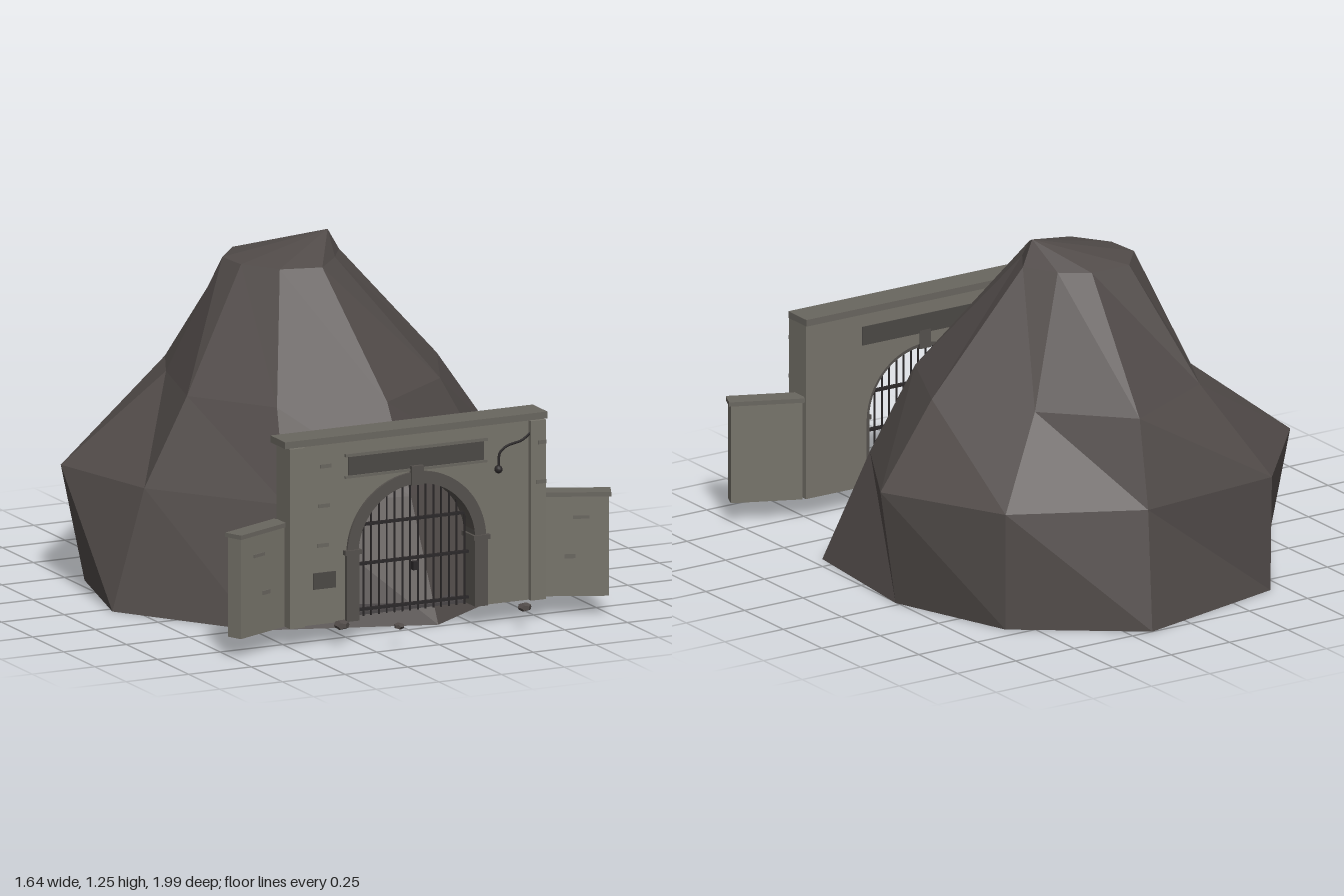
import * as THREE from 'three';

const mat = (name, color) => {
  const m = new THREE.MeshStandardMaterial({ color });
  m.name = name;
  return m;
};

export function createModel() {
  const root = new THREE.Group();
  root.name = 'rockTunnelGate';
  const rockMat = mat('dark rock', 0x514b49);
  rockMat.flatShading = true;
  const stone = mat('grey stone', 0x76736a);
  const trim = mat('trim stone', 0x69665f);
  const archMat = mat('arch stone', 0x55514d);
  const panelMat = mat('dark panel', 0x4b4845);
  const iron = mat('dark iron', 0x2b2829);
  const floorMat = mat('tunnel floor', 0x4a4647);

  const add = (name, geo, material, x = 0, y = 0, z = 0, parent = root) => {
    const m = new THREE.Mesh(geo, material);
    m.name = name;
    m.position.set(x, y, z);
    parent.add(m);
    return m;
  };
  // Box given by its low and high corners
  const box = (name, material, [x0, y0, z0], [x1, y1, z1], parent = root) =>
    add(name, new THREE.BoxGeometry(x1 - x0, y1 - y0, z1 - z0), material,
      (x0 + x1) / 2, (y0 + y1) / 2, (z0 + z1) / 2, parent);

  // Rock hill: four rings of nine corners, closed with an off-centre peak
  const rings = [
    [0, [[.755, -.23], [.59, -.69], [.165, -1], [-.44, -.85], [-.705, -.43], [-.825, .035], [-.49, .52], [.13, .73], [.705, .32]]],
    [.43, [[.82, -.23], [.585, -.685], [.13, -.92], [-.44, -.86], [-.79, -.45], [-.68, 0], [-.34, .45], [.12, .53], [.6, .17]]],
    [.74, [[.6, -.23], [.37, -.55], [.1, -.82], [-.29, -.62], [-.39, -.41], [-.49, -.04], [-.28, .26], [.11, .36], [.44, .12]]],
    [1.165, [[.21, -.23], [.14, -.35], [.04, -.42], [-.12, -.42], [-.22, -.3], [-.21, -.17], [-.12, -.04], [.03, 0], [.14, -.12]]],
  ].map(([y, pts]) => pts.map(([x, z]) => [x, y, z]));
  const tris = [];
  const peak = [.15, 1.25, -.2];
  for (let i = 0; i < 9; i++) {
    const j = (i + 1) % 9;
    for (let r = 0; r < 3; r++) {
      const lo = rings[r], hi = rings[r + 1];
      tris.push(lo[i], lo[j], hi[i], lo[j], hi[j], hi[i]);
    }
    tris.push(rings[3][i], rings[3][j], peak);
    tris.push(rings[0][j], rings[0][i], [0, 0, -.2]);
  }
  const rockGeo = new THREE.BufferGeometry();
  rockGeo.setAttribute('position', new THREE.Float32BufferAttribute(tris.flat(), 3));
  rockGeo.computeVertexNormals();
  add('rockHill', rockGeo, rockMat);

  // Gate wall with an arched opening
  const BOTTOM = .075, SPRING = .32;
  const archPath = (shape, r) => {
    shape.moveTo(-r, BOTTOM);
    shape.lineTo(-r, SPRING);
    shape.absarc(0, SPRING, r, Math.PI, 0, true);
    shape.lineTo(r, BOTTOM);
  };
  const wall = new THREE.Shape();
  archPath(wall, .25);
  wall.lineTo(.51, BOTTOM);
  wall.lineTo(.51, .735);
  wall.lineTo(-.51, .735);
  wall.lineTo(-.51, BOTTOM);
  wall.closePath();
  const extrude = (shape, depth) =>
    new THREE.ExtrudeGeometry(shape, { depth, bevelEnabled: false, curveSegments: 20 });
  add('gateWall', extrude(wall, .09), stone, 0, 0, .72);
  box('wallCoping', trim, [-.523, .735, .697], [.523, .76, .815]);

  // Arch surround, one band running down both sides
  const surround = new THREE.Shape();
  archPath(surround, .277);
  surround.lineTo(.233, BOTTOM);
  surround.lineTo(.233, SPRING);
  surround.absarc(0, SPRING, .233, 0, Math.PI, false);
  surround.lineTo(-.233, BOTTOM);
  surround.closePath();
  add('archSurround', extrude(surround, .09), archMat, 0, 0, .73);
  box('keystone', archMat, [-.024, .55, .717], [.024, .62, .828]);

  // Name panel, left blank, between two ledges
  box('blankPanel', panelMat, [-.27, .61, .717], [.27, .68, .814]);
  box('panelLedgeTop', trim, [-.283, .68, .81], [.283, .691, .821]);
  box('panelLedgeBottom', trim, [-.283, .6, .808], [.283, .609, .816]);

  for (const s of [-1, 1]) {
    // Wall pilasters, jambs and imposts
    const px = s * .48;
    box('pilaster', stone, [px - .03, BOTTOM, .80], [px + .03, .735, .829]);
    const jx = s * .256;
    box('jamb', archMat, [jx - .025, BOTTOM, .73], [jx + .025, SPRING, .823]);
    box('impost', archMat, [jx - .033, SPRING, .73], [jx + .033, .337, .828]);

    // Angled wing walls
    const wing = new THREE.Group();
    wing.name = s > 0 ? 'leftWing' : 'rightWing';
    wing.position.set(s * .628, 0, .805);
    wing.rotation.y = -s * .42;
    root.add(wing);
    box('wingWall', stone, [-.13, BOTTOM, -.03], [.13, .442, .03], wing);
    box('wingCoping', trim, [-.137, .442, -.037], [.137, .458, .037], wing);
    box('wornBrick', trim, [-s * .01 - .02, .215, .03], [-s * .01 + .02, .23, .034], wing);
    box('wornBrick', trim, [s * .03 - .03, .36, .03], [s * .03 + .03, .372, .034], wing);
  }

  // Worn brick patches and a vent
  for (const [x, y, z] of [[-.36, .655, .81], [-.365, .51, .81], [-.37, .365, .81], [.5, .655, .829], [.495, .51, .829]])
    box('wornBrick', trim, [x - .022, y - .007, z], [Math.min(x + .022, .51), y + .007, z + .004]);
  box('vent', panelMat, [-.41, .205, .808], [-.32, .265, .814]);

  // Iron grille that follows the arch
  for (let i = -7; i <= 7; i++) {
    const x = i * .031;
    const top = SPRING + Math.sqrt(.24 ** 2 - x * x);
    add('grilleBar', new THREE.CylinderGeometry(.0035, .0035, top - BOTTOM, 6), iron, x, (top + BOTTOM) / 2, .765);
  }
  for (const y of [.1, .268, .412]) {
    const w = y > SPRING ? Math.sqrt(.24 ** 2 - (y - SPRING) ** 2) : .24;
    box('grilleRail', iron, [-w, y - .005, .758], [w, y + .005, .772]);
  }
  box('lock', iron, [.005, .225, .76], [.027, .255, .782]);

  // Bent pipe with a lamp hanging from it
  const bend = new THREE.CatmullRomCurve3([[.455, .692], [.42, .667], [.36, .652], [.332, .63], [.326, .575]]
    .map(([x, y]) => new THREE.Vector3(x, y, .818)));
  add('lampPipe', new THREE.TubeGeometry(bend, 16, .0045, 6), iron);
  add('lamp', new THREE.SphereGeometry(.015, 10, 8), iron, .326, .57, .818);

  // Path running into the hill
  box('tunnelFloor', floorMat, [-.23, .07, .45], [.23, .08, .73]);

  // Loose stones
  for (const [x, y, z, r] of [[-.33, .083, .88, .029], [-.145, .078, .97, .02], [.38, .08, .92, .026]]) {
    const m = add('looseStone', new THREE.DodecahedronGeometry(r), rockMat, x, y, z);
    m.scale.y = .65;
    m.rotation.y = x * 9;
  }
  return root;
}
